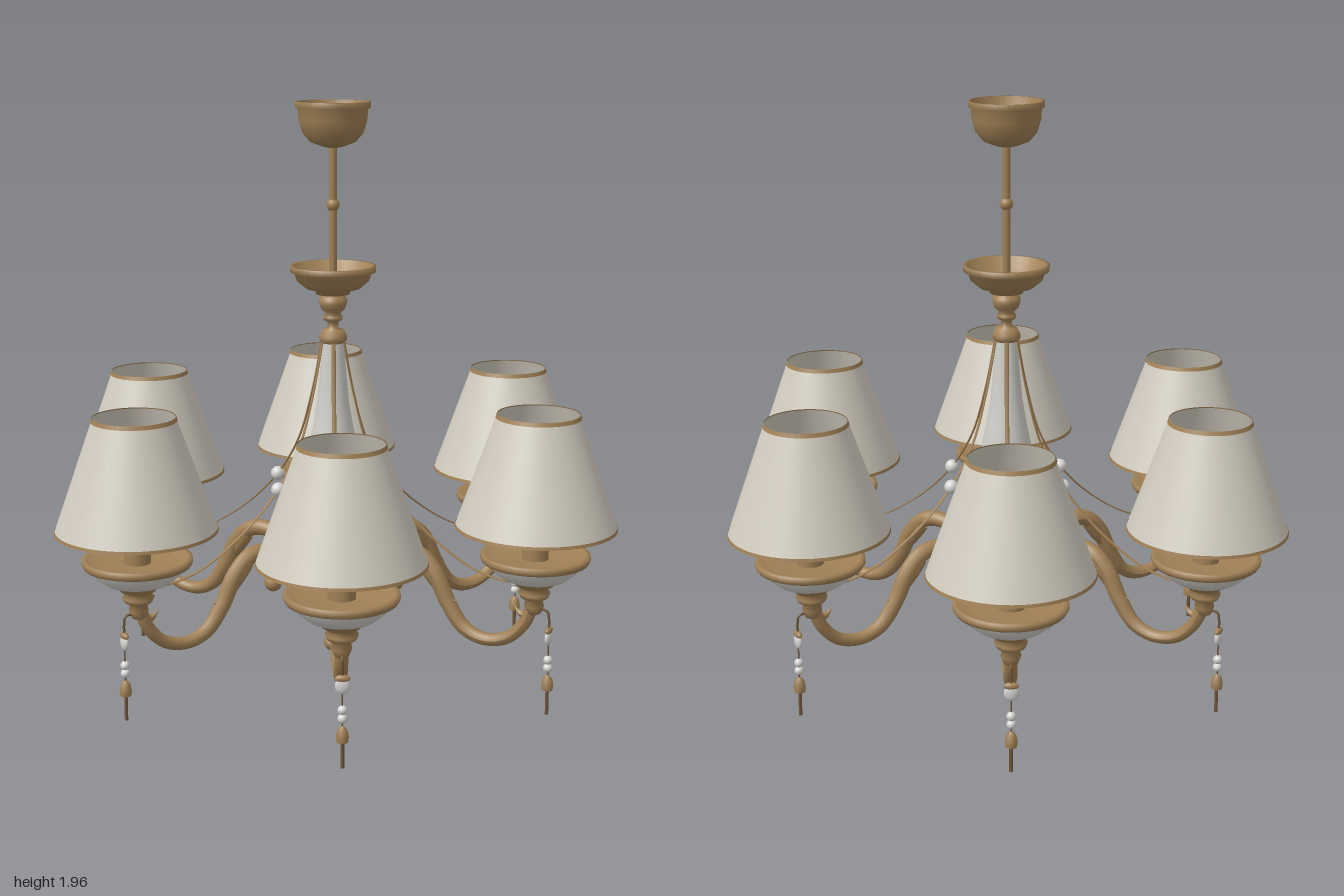
import * as THREE from 'three';

const material = (name, color, side = THREE.FrontSide) => {
  const m = new THREE.MeshStandardMaterial({ color, side });
  m.name = name;
  return m;
};
const V = (pts) => pts.map(([x, y]) => new THREE.Vector2(x, y));

export function createModel() {
  const bronze = material('bronze', 0xa08055, THREE.DoubleSide);
  const fabric = material('shade fabric', 0xd2ccbf, THREE.DoubleSide);
  const porcelain = material('porcelain', 0xd0cec8, THREE.DoubleSide);
  const crystal = material('crystal', 0xd6d5d2);
  const darkBronze = material('dark bronze', 0x6f5638);

  const add = (parent, name, geometry, mat, x = 0, y = 0, z = 0) => {
    const mesh = new THREE.Mesh(geometry, mat);
    mesh.name = name;
    mesh.position.set(x, y, z);
    parent.add(mesh);
    return mesh;
  };
  // Profiles run from bottom to top as [radius, height]
  const lathe = (parent, name, pts, mat, x = 0, sides = 32) =>
    add(parent, name, new THREE.LatheGeometry(V(pts), sides), mat, x);
  const ball = (parent, name, r, mat, x, y, z = 0) =>
    add(parent, name, new THREE.SphereGeometry(r, 16, 12), mat, x, y, z);
  const path = (pts) => new THREE.CatmullRomCurve3(pts.map(([x, y]) => new THREE.Vector3(x, y, 0)));

  // Tube in the arm plane whose radius follows a rule along its length
  const taperedTube = (pts, radius, steps, sides, rule) => {
    const curve = path(pts);
    const geo = new THREE.TubeGeometry(curve, steps, radius, sides);
    const pos = geo.attributes.position;
    const c = new THREE.Vector3(), p = new THREE.Vector3();
    for (let i = 0; i <= steps; i++) {
      curve.getPointAt(i / steps, c);
      for (let j = 0; j <= sides; j++) {
        const k = i * (sides + 1) + j;
        p.fromBufferAttribute(pos, k).sub(c).multiplyScalar(rule(i / steps)).add(c);
        pos.setXYZ(k, p.x, p.y, p.z);
      }
    }
    geo.computeVertexNormals();
    return geo;
  };

  const model = new THREE.Group();
  model.name = 'chandelier';
  const body = new THREE.Group();
  body.name = 'centralColumn';
  body.position.z = -0.008;
  model.add(body);

  // Ceiling cup, rod and upper dish
  lathe(body, 'ceilingCup', [[0.012, 1.81], [0.035, 1.815], [0.075, 1.83], [0.1, 1.86], [0.112, 1.9],
    [0.114, 1.935], [0.123, 1.94], [0.123, 1.96], [0.116, 1.96], [0.106, 1.9], [0.07, 1.845], [0, 1.83]], bronze);
  add(body, 'rod', new THREE.CylinderGeometry(0.013, 0.013, 0.5, 12), bronze, 0, 1.58);
  ball(body, 'rodBead', 0.022, bronze, 0, 1.625);
  lathe(body, 'upperDish', [[0.03, 1.325], [0.055, 1.33], [0.06, 1.342], [0.09, 1.35], [0.12, 1.375],
    [0.128, 1.4], [0.142, 1.405], [0.143, 1.425], [0.13, 1.425], [0.11, 1.385], [0.07, 1.36], [0, 1.355]], bronze);
  lathe(body, 'upperFinial', [[0.036, 1.165], [0.046, 1.175], [0.046, 1.19], [0.036, 1.21], [0.018, 1.215],
    [0.018, 1.235], [0.032, 1.245], [0.032, 1.255], [0.024, 1.265], [0.04, 1.28], [0.046, 1.3], [0.046, 1.315],
    [0.03, 1.33]], bronze);

  // Slender vase
  lathe(body, 'vase', [[0.035, 0.615], [0.058, 0.64], [0.078, 0.69], [0.087, 0.75], [0.083, 0.81],
    [0.068, 0.88], [0.053, 0.97], [0.044, 1.07], [0.037, 1.17]], porcelain);

  // Turned hub and bottom finial
  lathe(body, 'hub', [[0.02, 0.19], [0.035, 0.2], [0.045, 0.215], [0.075, 0.235], [0.11, 0.27], [0.145, 0.305],
    [0.165, 0.34], [0.17, 0.355], [0.155, 0.365], [0.158, 0.44], [0.175, 0.455], [0.198, 0.465], [0.2, 0.48],
    [0.178, 0.495], [0.15, 0.515], [0.11, 0.535], [0.06, 0.55], [0.035, 0.56], [0.03, 0.575], [0.045, 0.585],
    [0.045, 0.595], [0.03, 0.605], [0.04, 0.62], [0, 0.625]], bronze, 0, 24);
  lathe(body, 'bottomFinial', [[0, 0.083], [0.022, 0.09], [0.033, 0.108], [0.03, 0.123], [0.018, 0.133],
    [0.015, 0.155], [0.026, 0.165], [0.034, 0.178], [0.03, 0.19], [0.02, 0.2]], bronze, 0, 20);

  // Shared curves for the arms
  const R = 0.737;
  const armGeo = taperedTube([[0.235, 0.365], [0.215, 0.39], [0.195, 0.43], [0.215, 0.47], [0.27, 0.486], [0.33, 0.475],
    [0.385, 0.42], [0.43, 0.33], [0.49, 0.25], [0.565, 0.222], [0.645, 0.24], [0.705, 0.3], [R, 0.385]],
    0.025, 64, 10, (t) => 0.85 + 0.3 * Math.sin(Math.PI * Math.min(1, t * 1.4)) * (t < 0.71 ? 1 : 0));
  const leafGeo = taperedTube([[0.34, 0.46], [0.385, 0.395], [0.425, 0.345], [0.465, 0.335]],
    0.024, 16, 8, (t) => 1.15 - 1.1 * t * t);
  const cupLeafGeo = taperedTube([[0.73, 0.35], [0.705, 0.33], [0.685, 0.335], [0.67, 0.355]],
    0.022, 12, 8, (t) => 1.1 - t);
  const ribbonGeo = new THREE.TubeGeometry(path([[0.042, 1.17], [0.078, 1.0], [0.13, 0.83], [0.2, 0.71], [0.29, 0.61],
    [0.39, 0.53], [0.5, 0.465], [0.6, 0.436], [0.67, 0.435], [0.71, 0.46]]), 48, 0.0028, 6);
  ribbonGeo.scale(1, 1, 2.6);
  const hookGeo = new THREE.TubeGeometry(path([[0.75, 0.34], [0.765, 0.355], [0.785, 0.35], [0.79, 0.325],
    [0.79, 0.28]]), 16, 0.004, 6);

  const buildArm = () => {
    const arm = new THREE.Group();
    arm.name = 'arm';

    // Scrolled arm with leaves
    add(arm, 'scrollArm', armGeo, bronze);
    ball(arm, 'scrollTip', 0.03, bronze, 0.237, 0.37);
    add(arm, 'armLeaf', leafGeo, bronze);
    add(arm, 'cupLeaf', cupLeafGeo, bronze);

    // Turned holder, porcelain bowl and rimmed tray
    lathe(arm, 'holder', [[0, 0.335], [0.022, 0.34], [0.032, 0.365], [0.028, 0.385], [0.045, 0.395], [0.052, 0.41],
      [0.04, 0.422], [0.06, 0.435], [0.075, 0.452]], bronze, R, 20);
    lathe(arm, 'bowl', [[0.07, 0.45], [0.105, 0.462], [0.135, 0.485], [0.152, 0.52]], porcelain, R);
    lathe(arm, 'tray', [[0.148, 0.513], [0.172, 0.517], [0.178, 0.528], [0.176, 0.542], [0.162, 0.542],
      [0.13, 0.528], [0, 0.523]], bronze, R);

    // Candle sleeve and bulb
    add(arm, 'candle', new THREE.CylinderGeometry(0.043, 0.043, 0.22, 24), bronze, R, 0.635);
    ball(arm, 'bulb', 0.047, crystal, R, 0.78);

    // Open shade with trimmed edges
    lathe(arm, 'shade', [[0.259, 0.635], [0.131, 1.0]], fabric, R, 48);
    lathe(arm, 'lowerTrim', [[0.261, 0.631], [0.2585, 0.641]], bronze, R, 48);
    lathe(arm, 'upperTrim', [[0.1365, 0.99], [0.132, 1.003]], bronze, R, 48);

    // Ribbon strand with a bead
    add(arm, 'strand', ribbonGeo, bronze);
    ball(arm, 'strandBead', 0.024, crystal, 0.215, 0.69);

    // Hanging pendant
    const px = 0.79;
    add(arm, 'hook', hookGeo, darkBronze);
    add(arm, 'pendantWire', new THREE.CylinderGeometry(0.0025, 0.0025, 0.24, 6), darkBronze, px, 0.2);
    ball(arm, 'pendantDrop', 0.027, crystal, px, 0.265).scale.set(0.4, 1, 0.85);
    const crown = ball(arm, 'pendantCrown', 0.024, bronze, px, 0.288);
    crown.scale.set(0.45, 0.5, 1);
    for (const y of [0.187, 0.16]) ball(arm, 'pendantBead', 0.015, crystal, px, y);
    lathe(arm, 'tasselCap', [[0.018, 0.085], [0.02, 0.1], [0.016, 0.122], [0.006, 0.135], [0, 0.137]], bronze, px, 12);
    add(arm, 'tasselRod', new THREE.CylinderGeometry(0.006, 0.006, 0.09, 8), darkBronze, px, 0.045);
    return arm;
  };

  // Six arms around the column
  for (let i = 0; i < 6; i++) {
    const arm = buildArm();
    arm.rotation.y = -THREE.MathUtils.degToRad(31.4 + 60 * i);
    body.add(arm);
  }
  return model;
}
